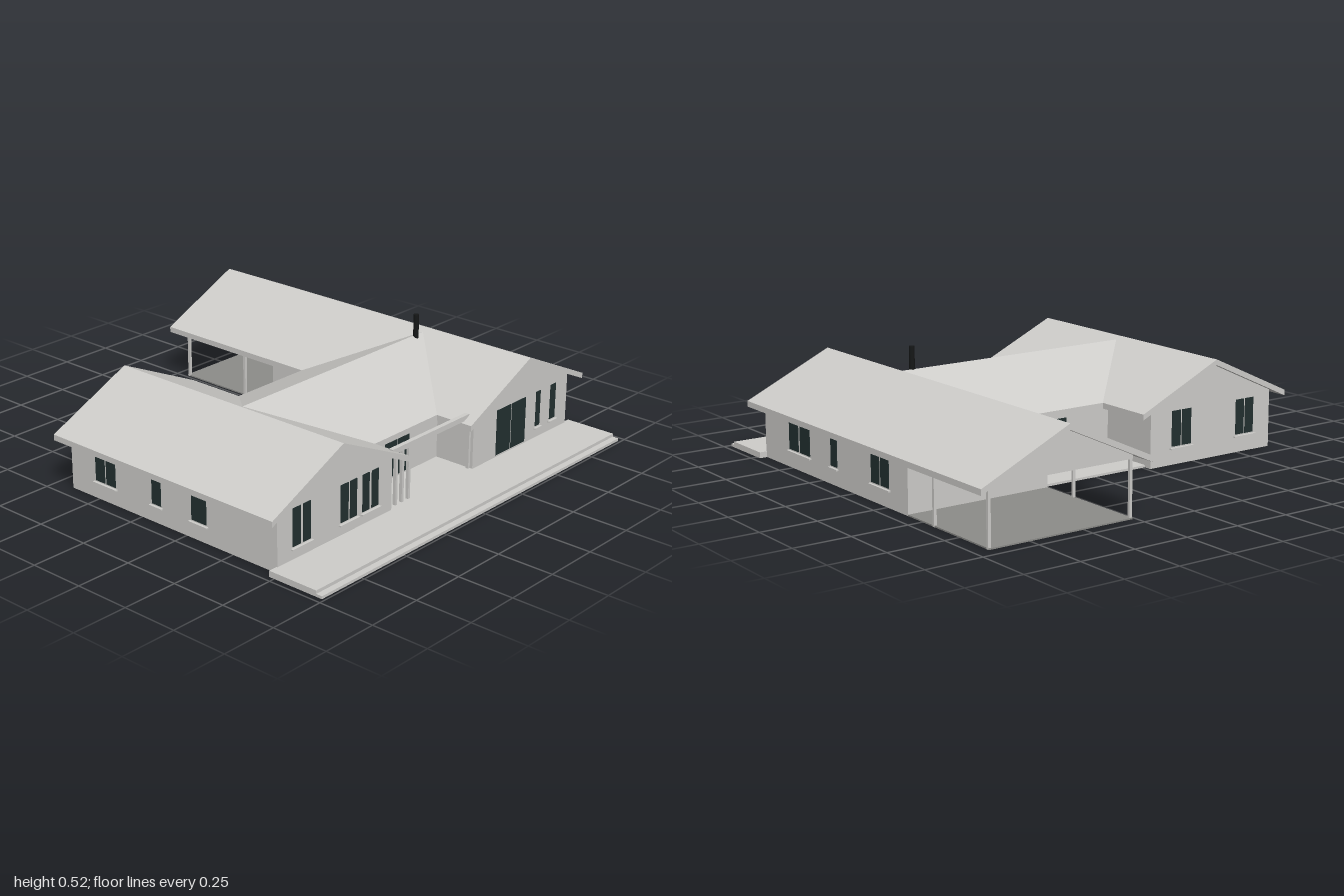
import * as THREE from 'three';

export function createModel() {
  const house = new THREE.Group();
  house.name = 'house';
  const mat = (name, color) => {
    const m = new THREE.MeshStandardMaterial({ color });
    m.name = name;
    return m;
  };
  const plaster = mat('pale grey', 0xcecdca);
  const paving = mat('mid grey', 0x8c8c89);
  const glass = mat('dark glass', 0x223030);
  const black = mat('black metal', 0x151717);

  const add = (name, geo, material = plaster) => {
    const m = new THREE.Mesh(geo, material);
    m.name = name;
    house.add(m);
    return m;
  };
  // Box given by its limits on each axis
  const box = (name, x0, x1, y0, y1, z0, z1, material) =>
    add(name, new THREE.BoxGeometry(x1 - x0, y1 - y0, z1 - z0)
      .translate((x0 + x1) / 2, (y0 + y1) / 2, (z0 + z1) / 2), material);
  // Outline extruded along z from z0 to z1
  const prism = (points, z0, z1) =>
    new THREE.ExtrudeGeometry(new THREE.Shape(points.map(p => new THREE.Vector2(...p))),
      { depth: z1 - z0, bevelEnabled: false }).translate(0, 0, z0);
  // Gabled roof section of even thickness
  const chevron = (half, eave, ridge, t) => [
    [-half, eave - t], [0, ridge - t], [half, eave - t], [half, eave], [0, ridge], [-half, eave]];

  // Wings: walls with gables, and gabled roofs
  const wing = (name, x, wallBack, roofBack) => {
    const walls = [[-0.335, 0], [0.335, 0], [0.335, 0.256], [0, 0.411], [-0.335, 0.256]];
    add(name + 'Walls', prism(walls, wallBack, 0.73).translate(x, 0, 0));
    add(name + 'Roof', prism(chevron(0.4, 0.25, 0.435, 0.025), roofBack, 0.765).translate(x, 0, 0));
  };
  wing('leftWing', 0.6, -0.4, -0.99);
  wing('rightWing', -0.6, -0.41, -0.44);

  // Covered porch behind the longer wing
  add('porchGable', prism([[-0.335, 0.24], [0.335, 0.24], [0.335, 0.256], [0, 0.411], [-0.335, 0.256]],
    -0.945, -0.4).translate(0.6, 0, 0));
  box('porchFloor', 0.265, 0.935, 0, 0.006, -0.945, -0.4, paving);
  for (const x of [0.27, 0.93])
    for (const z of [-0.935, -0.578]) box('porchPost', x - 0.006, x + 0.006, 0, 0.25, z - 0.006, z + 0.006);

  // Middle block between the wings
  add('middleWalls', prism([[-0.33, 0], [0.33, 0], [0.33, 0.245], [0, 0.394], [-0.33, 0.245]], -0.27, 0.27)
    .rotateY(Math.PI / 2).translate(0, 0, 0.21));
  add('middleRoof', prism(chevron(0.377, 0.25, 0.422, 0.025), -0.575, 0.575)
    .rotateY(Math.PI / 2).translate(0, 0, 0.21));

  // Floors and front terrace with its step
  box('backFloor', -0.265, 0.265, 0, 0.01, -0.375, -0.1);
  box('entryFloor', -0.265, 0.265, 0, 0.026, 0.5, 0.74);
  box('terrace', -0.975, 0.97, 0, 0.026, 0.725, 0.96);
  box('terraceStep', -0.975, 0.97, 0, 0.012, 0.96, 0.988);

  // Entry beam and slender posts
  box('entryBeam', -0.25, 0.245, 0.255, 0.278, 0.7, 0.72);
  for (const x of [-0.26, -0.218, -0.178, -0.137, 0.26])
    box('entryPost', x - 0.006, x + 0.006, 0.02, 0.258, 0.703, 0.717);

  // Chimney pipe
  add('chimney', new THREE.CylinderGeometry(0.012, 0.012, 0.14, 16).translate(0.513, 0.45, 0.218), black);

  // Panes on walls facing z or x; dir is the outward side
  const sill = 0.012;
  const paneZ = (z, dir, y0, y1, spans) => spans.forEach(([a, b]) => {
    box('window', a, b, y0, y1, z - 0.003, z + 0.003, glass);
    if (y0 > 0.05) box('windowSill', a - 0.01, b + 0.01, y0 - 0.012, y0 - 0.006,
      Math.min(z, z + dir * sill), Math.max(z, z + dir * sill));
  });
  const paneX = (x, dir, y0, y1, spans) => spans.forEach(([a, b]) => {
    box('window', x - 0.003, x + 0.003, y0, y1, a, b, glass);
    if (y0 > 0.05) box('windowSill', Math.min(x, x + dir * sill), Math.max(x, x + dir * sill),
      y0 - 0.012, y0 - 0.006, a - 0.01, b + 0.01);
  });
  // Front
  paneZ(0.73, 1, 0.08, 0.24, [[-0.85, -0.805], [-0.79, -0.75], [-0.575, -0.53], [-0.52, -0.48],
    [-0.445, -0.405], [-0.39, -0.35], [0.705, 0.735], [0.81, 0.848]]);
  paneZ(0.73, 1, 0.035, 0.24, [[0.425, 0.522], [0.53, 0.628]]);
  paneZ(0.54, 1, 0.035, 0.222, [[-0.08, -0.005], [0.002, 0.077]]);
  // Outer sides
  paneX(0.935, 1, 0.08, 0.235, [[0.445, 0.52], [0.35, 0.43], [0.13, 0.178], [-0.195, -0.135], [-0.265, -0.205]]);
  paneX(-0.935, -1, 0.08, 0.235, [[-0.265, -0.212], [-0.203, -0.15], [0.06, 0.11], [0.28, 0.36]]);
  // Back and courtyard
  paneZ(-0.41, -1, 0.08, 0.235, [[-0.485, -0.435], [-0.428, -0.38], [-0.84, -0.793], [-0.786, -0.74]]);
  paneZ(-0.12, -1, 0.03, 0.2, [[0.155, 0.225], [-0.04, 0.04]]);
  paneX(0.265, -1, 0.03, 0.2, [[-0.24, -0.15]]);

  return house;
}
